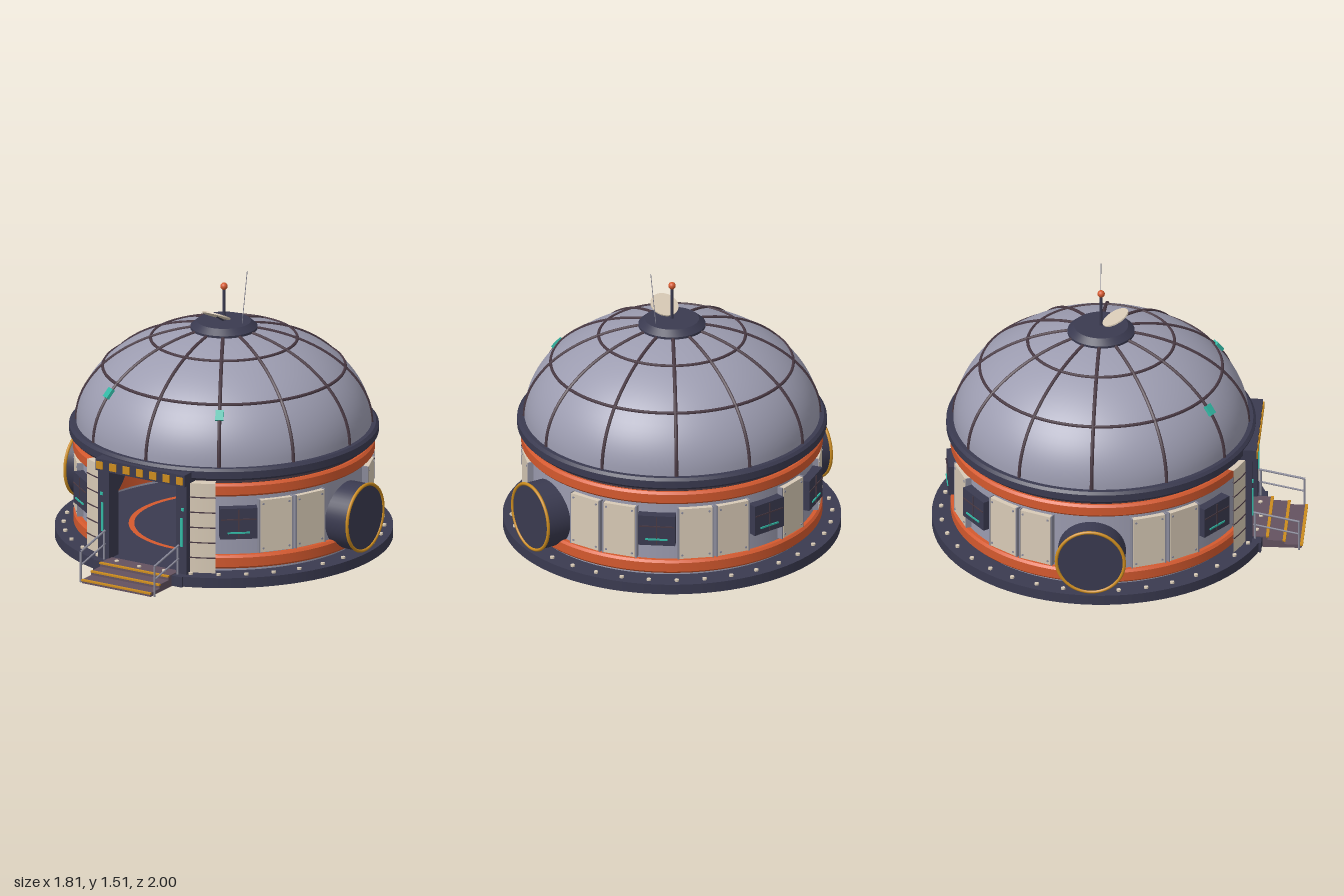
import * as THREE from 'three';
import { toCreasedNormals } from 'three/addons/utils/BufferGeometryUtils.js';

const mat = (name, color, side = THREE.FrontSide) => {
  const m = new THREE.MeshStandardMaterial({ color, side });
  m.name = name;
  return m;
};
const DEG = Math.PI / 180;

export function createModel() {
  const shell = mat('lavender grey shell', 0x9c9cb0, THREE.DoubleSide);
  const navy = mat('dark navy', 0x3a3a50);
  const orange = mat('burnt orange', 0xd4592e);
  const cream = mat('cream panel', 0xd8cab6);
  const plum = mat('dark plum', 0x4a3a44);
  const gold = mat('amber', 0xcc8c1e);
  const teal = mat('teal light', 0x32b8a4);
  const steel = mat('steel', 0x8c8c9c);
  const tread = mat('step plum', 0x645260);

  const model = new THREE.Group();
  model.name = 'domeHabitat';
  const hub = new THREE.Group(); // round building, set back behind the steps
  hub.name = 'building';
  hub.position.z = -0.095;
  model.add(hub);

  const add = (parent, name, geo, material, x = 0, y = 0, z = 0) => {
    const m = new THREE.Mesh(geo, material);
    m.name = name;
    m.position.set(x, y, z);
    parent.add(m);
    return m;
  };
  const box = (p, name, w, h, d, material, x, y, z) =>
    add(p, name, new THREE.BoxGeometry(w, h, d), material, x, y, z);
  const cyl = (p, name, r, h, material, x, y, z, seg = 16) =>
    add(p, name, new THREE.CylinderGeometry(r, r, h, seg), material, x, y, z);
  const rod = (p, name, a, b, r, material) => {
    const va = new THREE.Vector3(...a), vb = new THREE.Vector3(...b);
    return add(p, name, new THREE.TubeGeometry(new THREE.LineCurve3(va, vb), 1, r, 8), material);
  };
  // chamfered hoop, open between the angles -gap and +gap at the front
  const hoop = (name, r0, r1, y0, y1, c, material, gap = 0) => {
    const pts = [[r0, y0], [r1 - c, y0], [r1, y0 + c], [r1, y1 - c], [r1 - c, y1], [r0, y1], [r0, y0]]
      .map(([r, y]) => new THREE.Vector2(r, y));
    const geo = new THREE.LatheGeometry(pts, 96, gap * DEG, (360 - 2 * gap) * DEG);
    return add(hub, name, toCreasedNormals(geo, 0.6), material);
  };
  // group facing outward at an angle round the building
  const spoke = (name, deg, r, y) => {
    const g = new THREE.Group();
    g.name = name;
    g.position.set(Math.sin(deg * DEG) * r, y, Math.cos(deg * DEG) * r);
    g.rotation.y = deg * DEG;
    hub.add(g);
    return g;
  };

  // Base with bolts and underside ring
  add(hub, 'base', new THREE.CylinderGeometry(0.905, 0.905, 0.056, 96), navy, 0, 0.032, 0);
  const under = add(hub, 'undersideRing', new THREE.RingGeometry(0.745, 0.77, 96), shell, 0, 0.001, 0);
  under.rotation.x = Math.PI / 2;
  for (let i = 0; i < 36; i++) {
    const g = spoke('baseBolt', i * 10, 0.857, 0.064);
    cyl(g, 'bolt', 0.012, 0.014, cream, 0, 0, 0, 8);
  }
  add(hub, 'floorRing', new THREE.RingGeometry(0.48, 0.51, 64), orange, 0, 0.066, 0).rotation.x = -Math.PI / 2;

  // Wall and hoops
  const wall = new THREE.CylinderGeometry(0.772, 0.772, 0.53, 96, 1, true, 20 * DEG, 320 * DEG);
  add(hub, 'wall', wall, shell, 0, 0.325, 0);
  hoop('lowerBand', 0.755, 0.805, 0.078, 0.152, 0.012, orange, 20);
  hoop('upperBand', 0.755, 0.807, 0.485, 0.556, 0.012, orange, 20);
  hoop('eaveGap', 0.74, 0.785, 0.556, 0.584, 0.002, plum);
  hoop('eaveRing', 0.74, 0.828, 0.58, 0.647, 0.014, navy);

  // Wall slots every 15 degrees: windows and bolted panels
  const windows = [37.5, -37.5, 142.5, -142.5, -172.5];
  for (let i = 0; i < 24; i++) {
    let a = 7.5 + i * 15;
    if (a > 180) a -= 360;
    const off = Math.abs(a);
    if (off < 30 || Math.abs(off - 90) < 10) continue;
    if (windows.includes(a)) {
      const g = spoke('window', a, 0.79, 0.338);
      box(g, 'windowFrame', 0.2, 0.172, 0.066, navy, 0, 0, 0);
      box(g, 'mullion', 0.007, 0.16, 0.005, plum, 0, 0, 0.034);
      box(g, 'crossbar', 0.19, 0.007, 0.005, plum, 0, 0.025, 0.034);
      for (const z of [-0.034, 0.035]) box(g, 'lightStrip', 0.12, 0.009, 0.008, teal, 0, -0.05, z);
    } else {
      const g = spoke('wallPanel', a, 0.777, 0.31);
      box(g, 'panel', 0.178, 0.292, 0.042, cream, 0, 0, 0);
      for (const sx of [-1, 1]) {
        box(g, 'panelEdge', 0.008, 0.3, 0.04, steel, sx * 0.094, 0, 0);
        for (const sy of [-1, 1])
          cyl(g, 'panelBolt', 0.006, 0.006, steel, sx * 0.074, sy * 0.125, 0.022, 8).rotation.x = Math.PI / 2;
      }
    }
  }

  // Side ports
  for (const s of [-1, 1]) {
    cyl(hub, 'port', 0.182, 0.17, navy, s * 0.805, 0.256, 0, 48).rotation.z = Math.PI / 2;
    add(hub, 'portRim', new THREE.TorusGeometry(0.182, 0.009, 8, 64), gold, s * 0.889, 0.256, 0).rotation.y = Math.PI / 2;
  }

  // Dome with ribs and rings
  const A = 0.79, B = 0.537, Y0 = 0.645;
  const domeY = r => Y0 + B * Math.sqrt(1 - (r / A) ** 2);
  const profile = [];
  for (let i = 0; i <= 24; i++) {
    const t = (i / 24) * 85 * DEG;
    profile.push(new THREE.Vector2(A * Math.cos(t), Y0 + B * Math.sin(t)));
  }
  add(hub, 'dome', new THREE.LatheGeometry(profile, 96), shell);
  const ribCurve = new THREE.CatmullRomCurve3(
    profile.filter((p, i) => i % 2 === 0).map(p => new THREE.Vector3(0, p.y, p.x)));
  const ribGeo = new THREE.TubeGeometry(ribCurve, 32, 0.01, 6);
  for (let i = 0; i < 12; i++) add(hub, 'domeRib', ribGeo, plum).rotation.y = i * 30 * DEG;
  for (const r of [0.648, 0.392])
    add(hub, 'domeRing', new THREE.TorusGeometry(r, 0.009, 6, 96), plum, 0, domeY(r), 0).rotation.x = Math.PI / 2;
  for (const s of [-1, 1]) {
    const g = spoke('domeLamp', s * 30, 0.692, domeY(0.692));
    const slope = Math.atan2((domeY(0.692) - Y0) / B ** 2, 0.692 / A ** 2);
    box(g, 'lamp', 0.045, 0.058, 0.034, teal, 0, 0, 0).rotation.x = -slope;
  }

  // Crown, mast, dish and whip aerial
  const crown = [[0.18, 1.145], [0.18, 1.18], [0.145, 1.21], [0.001, 1.21]].map(p => new THREE.Vector2(...p));
  add(hub, 'crown', toCreasedNormals(new THREE.LatheGeometry(crown, 48), 0.4), navy);
  cyl(hub, 'mast', 0.008, 0.19, navy, 0, 1.3, 0);
  add(hub, 'mastBall', new THREE.SphereGeometry(0.02, 16, 12), orange, 0, 1.402, 0);
  cyl(hub, 'dish', 0.077, 0.008, cream, 0, 1.259, 0.077, 32).rotation.x = -28 * DEG;
  rod(hub, 'dishArm', [0, 1.215, 0.01], [0, 1.255, 0.077], 0.006, navy);
  rod(hub, 'whipAerial', [0.107, 1.2, -0.01], [0.14, 1.51, -0.01], 0.002, steel);

  // Entrance surround
  for (const s of [-1, 1]) {
    const mid = s * 24;
    const jamb = (name, r0, r1, y0, y1, material) => {
      const pts = [[r0, y0], [r1, y0], [r1, y1], [r0, y1], [r0, y0]].map(p => new THREE.Vector2(...p));
      add(hub, name, toCreasedNormals(new THREE.LatheGeometry(pts, 8, (mid - 4.8) * DEG, 9.6 * DEG), 0.6), material);
    };
    jamb('entrancePanel', 0.76, 0.838, 0.065, 0.568, cream);
    for (const y of [0.15, 0.235, 0.32, 0.405, 0.49]) jamb('panelSeam', 0.83, 0.841, y - 0.003, y + 0.003, plum);
    box(model, 'doorPillar', 0.068, 0.51, 0.1, navy, s * 0.245, 0.315, 0.68);
    box(model, 'pillarLight', 0.014, 0.16, 0.009, teal, s * 0.25, 0.295, 0.733);
    box(model, 'pillarSensor', 0.016, 0.016, 0.009, teal, s * 0.255, 0.425, 0.733);
  }
  box(model, 'canopy', 0.56, 0.066, 0.11, navy, 0, 0.593, 0.7);
  for (let i = -3; i <= 3; i++) box(model, 'canopyBlock', 0.042, 0.042, 0.009, gold, i * 0.084, 0.592, 0.757);
  box(model, 'porch', 0.56, 0.058, 0.16, navy, 0, 0.031, 0.7);

  // Steps with amber nosing
  [[0.81, 0.064], [0.9, 0.042], [0.993, 0.02]].forEach(([z, y]) => {
    const back = 0.7;
    box(model, 'step', 0.432, y, z - back, tread, 0, y / 2, (z + back) / 2);
    box(model, 'stepNosing', 0.434, 0.009, 0.016, gold, 0, y - 0.002, z - 0.001);
  });

  // Handrails
  for (const s of [-1, 1]) {
    const x = s * 0.232;
    rod(model, 'railPost', [x, 0, 0.98], [x, 0.172, 0.98], 0.006, steel);
    rod(model, 'railPost', [x, 0.03, 0.745], [x, 0.22, 0.745], 0.006, steel);
    rod(model, 'handrail', [x, 0.17, 0.983], [x, 0.22, 0.735], 0.006, steel);
    rod(model, 'lowerRail', [x, 0.095, 0.98], [x, 0.145, 0.735], 0.005, steel);
  }

  // Interior: column, table and floor lamps
  cyl(hub, 'column', 0.015, 0.5, plum, 0, 0.31, 0);
  cyl(hub, 'pipe', 0.009, 0.5, plum, 0.072, 0.31, 0);
  cyl(hub, 'tableTop', 0.132, 0.012, cream, 0, 0.238, 0, 32);
  for (const x of [-0.14, 0, 0.2]) {
    const lamp = add(hub, 'floorLamp', new THREE.SphereGeometry(0.05, 16, 8), teal, x, 0.155, -0.5);
    lamp.scale.y = 0.3;
    cyl(hub, 'lampBase', 0.04, 0.09, navy, x, 0.105, -0.5);
  }
  return model;
}
